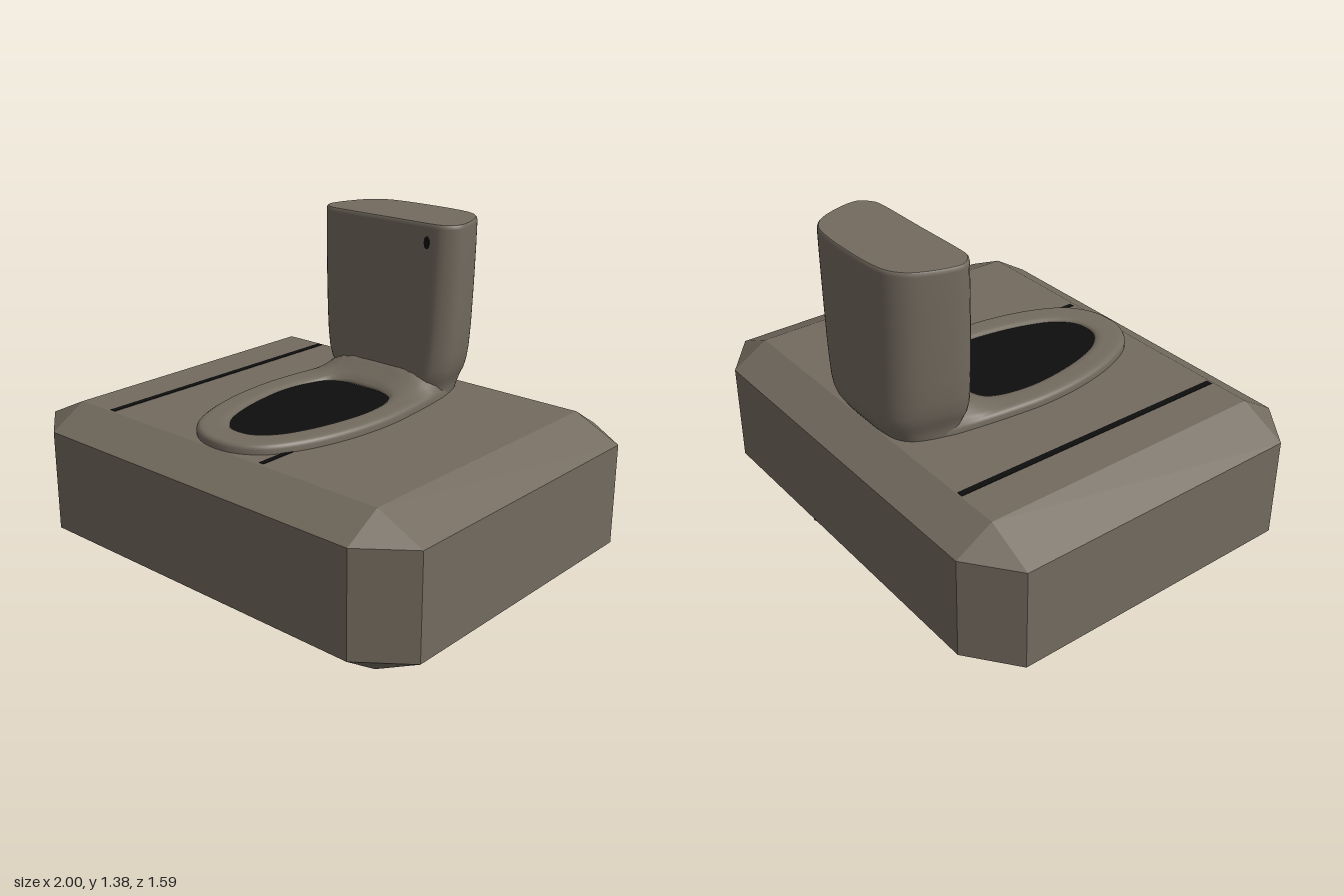
import * as THREE from 'three';
import { ConvexGeometry } from 'three/addons/geometries/ConvexGeometry.js';

const stone = new THREE.MeshStandardMaterial({ color: 0x736b5f });
stone.name = 'stone';
const black = new THREE.MeshStandardMaterial({ color: 0x0e0e0e });
black.name = 'black';

// Mirrors half a plan outline [x, z] (back to front on +x) into a smooth closed loop
function outline(half, count = 96) {
  const mirrored = half.slice(1, -1).reverse().map(([x, z]) => [-x, z]);
  const pts = [...half, ...mirrored].map(([x, z]) => new THREE.Vector3(x, 0, z));
  return new THREE.CatmullRomCurve3(pts, true, 'centripetal').getSpacedPoints(count).slice(0, count);
}

// Skins a stack of closed loops, with an optional flat cap on the last one
function loft(loops, cap = false) {
  const n = loops[0].length, pos = [], idx = [];
  loops.forEach(loop => loop.forEach(p => pos.push(p.x, p.y, p.z)));
  for (let i = 0; i < loops.length - 1; i++) {
    for (let j = 0; j < n; j++) {
      const k = (j + 1) % n;
      const a = i * n + j, b = i * n + k, c = a + n, d = b + n;
      idx.push(a, c, b, b, c, d);
    }
  }
  if (cap) {
    const last = loops[loops.length - 1], start = pos.length / 3;
    last.forEach(p => pos.push(p.x, p.y, p.z));
    const mid = last.reduce((s, p) => s.add(p), new THREE.Vector3()).divideScalar(n);
    pos.push(mid.x, mid.y, mid.z);
    for (let j = 0; j < n; j++) idx.push(start + j, start + n, start + (j + 1) % n);
  }
  const geo = new THREE.BufferGeometry();
  geo.setAttribute('position', new THREE.Float32BufferAttribute(pos, 3));
  geo.setIndex(idx);
  geo.computeVertexNormals();
  return geo;
}

function add(group, name, geo, mat) {
  const mesh = new THREE.Mesh(geo, mat);
  mesh.name = name;
  group.add(mesh);
  return mesh;
}

// Thin black strip lying on a surface with the given normal
function strip(group, name, from, to, normal, width) {
  const a = new THREE.Vector3(...from), b = new THREE.Vector3(...to);
  const mesh = new THREE.Mesh(new THREE.BoxGeometry(width, 0.004, a.distanceTo(b)), black);
  mesh.name = name;
  mesh.up.set(...normal);
  mesh.position.copy(a).lerp(b, 0.5);
  mesh.lookAt(b);
  group.add(mesh);
}

export function createModel() {
  const model = new THREE.Group();
  model.name = 'toiletOnBlock';

  // Block with every edge and corner chamfered
  const corners = [];
  for (const x of [-1, 1]) for (const z of [-1, 1]) for (const top of [false, true]) {
    const flat = top ? 0.635 : 0.01, side = top ? 0.54 : 0.11;
    corners.push(
      new THREE.Vector3(x * 0.8, flat, z * 0.635),
      new THREE.Vector3(x, side, z * 0.635),
      new THREE.Vector3(x * 0.8, side, z * 0.79));
  }
  add(model, 'block', new ConvexGeometry(corners), stone);

  // Seat: a rounded rim that sweeps up into the tank at the back
  const outer = outline([[0, -0.62], [0.2, -0.59], [0.28, -0.45], [0.302, -0.34], [0.328, -0.12],
    [0.335, 0], [0.32, 0.2], [0.27, 0.4], [0.19, 0.55], [0.09, 0.617], [0, 0.632]]);
  const inner = outline([[0, -0.235], [0.1, -0.23], [0.17, -0.195], [0.21, -0.1], [0.225, 0.02],
    [0.213, 0.15], [0.18, 0.3], [0.13, 0.42], [0.06, 0.488], [0, 0.5]]);
  const rise = p => {
    const t = THREE.MathUtils.clamp((-0.1 - p.z) / 0.24, 0, 1);
    return 0.09 * t ** 3 * Math.max(0, 1 - (p.x / 0.3) ** 4);
  };
  const rim = [[0, 0.633], [0, 0.655], [0.04, 0.666], [0.12, 0.672], [0.25, 0.673], [0.4, 0.673],
    [0.5, 0.673], [0.6, 0.673], [0.7, 0.673], [0.8, 0.672], [0.92, 0.669], [1, 0.661], [1, 0.645]];
  const rimLoops = rim.map(([t, y], i) => outer.map((o, j) => {
    const p = o.clone().lerp(inner[j], t);
    p.y = y + (i > 2 ? rise(p) : 0);
    return p;
  }));
  add(model, 'seat', loft(rimLoops), stone);

  // Dark bowl opening
  const opening = new THREE.Shape(inner.map(p => new THREE.Vector2(p.x, -p.z)));
  const bowl = add(model, 'bowlOpening', new THREE.ShapeGeometry(opening).rotateX(-Math.PI / 2), black);
  bowl.position.y = 0.66;

  // Tank: [height, width scale, back z, front z]
  const plan = outline([[0, -0.678], [0.13, -0.674], [0.23, -0.655], [0.29, -0.61], [0.335, -0.52],
    [0.357, -0.42], [0.348, -0.39], [0.3, -0.35], [0.26, -0.345], [0, -0.345]]);
  const levels = [[0.633, 0.79, -0.63, -0.36], [0.66, 0.8, -0.65, -0.345], [0.69, 0.82, -0.668, -0.335],
    [0.72, 0.865, -0.676, -0.33], [0.76, 0.905, -0.678, -0.33], [0.82, 0.937, -0.678, -0.333],
    [0.92, 0.962, -0.678, -0.336], [1.1, 0.984, -0.678, -0.339], [1.25, 0.996, -0.678, -0.342],
    [1.36, 1, -0.678, -0.344], [1.372, 0.994, -0.676, -0.346], [1.377, 0.98, -0.672, -0.35]];
  const tankLoops = levels.map(([y, s, back, front]) => plan.map(p => new THREE.Vector3(
    p.x * s, y, THREE.MathUtils.mapLinear(p.z, -0.678, -0.345, back, front))));
  add(model, 'tank', loft(tankLoops, true), stone);

  // Oval base plug showing under the block
  const plug = add(model, 'basePlug', new THREE.CylinderGeometry(1, 1, 0.03, 64), stone);
  plug.scale.set(0.268, 1, 0.51);
  plug.position.y = 0.015;

  // Black mark on the tank face
  const mark = add(model, 'tankMark', new THREE.CylinderGeometry(0.013, 0.013, 0.006, 16).rotateX(Math.PI / 2), black);
  mark.scale.y = 2;
  mark.position.set(0.235, 1.3, -0.341);

  // Black seams on the block
  const up = [0, 1, 0], down = [0, -1, 0];
  strip(model, 'topSeam', [-0.606, 0.635, -0.63], [-0.615, 0.635, 0.625], up, 0.027);
  strip(model, 'shortSeam', [0.235, 0.635, 0.43], [0.235, 0.635, 0.62], up, 0.022);
  strip(model, 'undersideSeam', [0.04, 0.01, -0.5], [0.1, 0.01, -0.635], down, 0.025);
  strip(model, 'rearSeam', [0.1, 0.01, -0.635], [0.2, 0.11, -0.79], [0, -0.84, -0.54], 0.025);
  strip(model, 'frontSeam', [0.072, 0.01, 0.635], [0.072, 0.06, 0.7125], [0, -0.84, 0.54], 0.025);
  return model;
}
